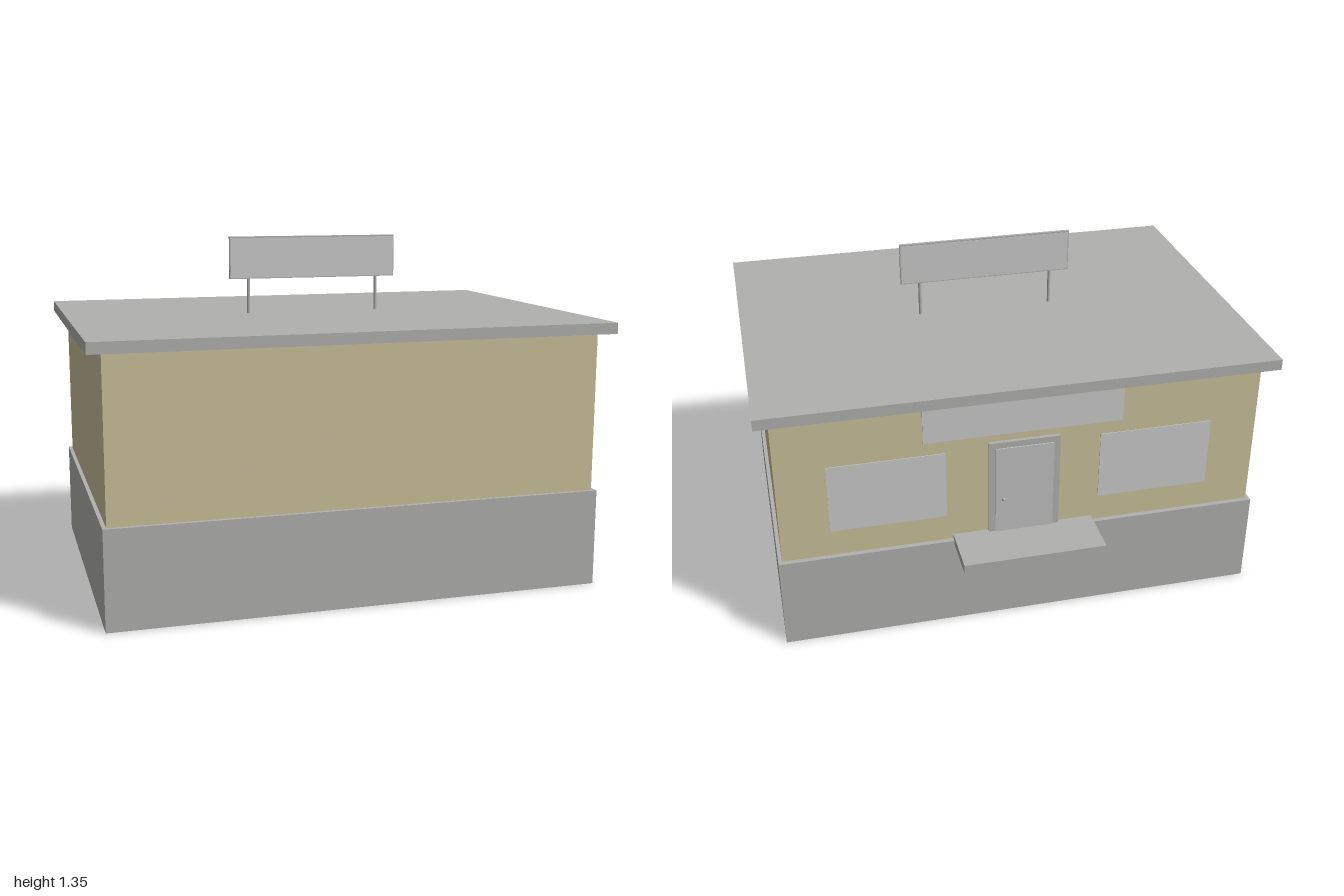
import * as THREE from 'three';

const material = (name, color) => {
  const m = new THREE.MeshStandardMaterial({ color });
  m.name = name;
  return m;
};

export function createModel() {
  const model = new THREE.Group();
  model.name = 'smallShop';

  const concrete = material('concreteGrey', 0xb0b0ae);
  const plaster = material('sandPlaster', 0xcbc09a);
  const pale = material('paleGrey', 0xcacaca);
  const doorGrey = material('doorGrey', 0xc0c0c0);

  const add = (name, geometry, mat, parent = model) => {
    const mesh = new THREE.Mesh(geometry, mat);
    mesh.name = name;
    parent.add(mesh);
    return mesh;
  };

  // Box given by its limits along each axis
  const box = (name, mat, [x0, x1], [y0, y1], [z0, z1], parent) => {
    const mesh = add(name, new THREE.BoxGeometry(x1 - x0, y1 - y0, z1 - z0), mat, parent);
    mesh.position.set((x0 + x1) / 2, (y0 + y1) / 2, (z0 + z1) / 2);
    return mesh;
  };

  // Building shell
  box('foundation', concrete, [-0.96, 0.96], [0, 0.38], [-0.603, 0.755]);
  box('walls', plaster, [-0.945, 0.945], [0.38, 1], [-0.583, 0.738]);
  box('roofSlab', concrete, [-1, 1], [1, 1.043], [-0.64, 0.79]);

  // Entrance on the rear wall
  const entrance = new THREE.Group();
  entrance.name = 'entrance';
  model.add(entrance);
  box('landing', concrete, [-0.28, 0.28], [0.362, 0.398], [-0.79, -0.58], entrance);
  box('lowerStep', concrete, [-0.18, 0.18], [0.332, 0.362], [-0.716, -0.6], entrance);
  box('doorFrame', concrete, [-0.14, 0.14], [0.398, 0.8], [-0.598, -0.58], entrance);
  box('doorLeaf', doorGrey, [-0.115, 0.115], [0.398, 0.775], [-0.603, -0.595], entrance);
  const knob = add('doorKnob', new THREE.SphereGeometry(0.007, 12, 8), concrete, entrance);
  knob.position.set(0.085, 0.548, -0.607);

  // Windows and the fascia sign above the door
  for (const side of [-1, 1]) {
    const x = side * 0.53;
    box('window', pale, [x - 0.226, x + 0.226], [0.49, 0.775], [-0.586, -0.582]);
  }
  box('wallSign', pale, [-0.39, 0.39], [0.83, 0.99], [-0.588, -0.582]);

  // Rooftop sign on two posts
  const sign = new THREE.Group();
  sign.name = 'roofSign';
  sign.position.z = 0.075;
  model.add(sign);
  box('signFrame', concrete, [-0.35, 0.35], [1.183, 1.353], [-0.006, 0.006], sign);
  box('signPanel', pale, [-0.346, 0.346], [1.187, 1.347], [-0.0075, 0.0075], sign);
  for (const x of [-0.272, 0.272]) {
    const post = add('signPost', new THREE.CylinderGeometry(0.0065, 0.0065, 0.145, 12), concrete, sign);
    post.position.set(x, 1.1125, 0);
  }

  return model;
}
